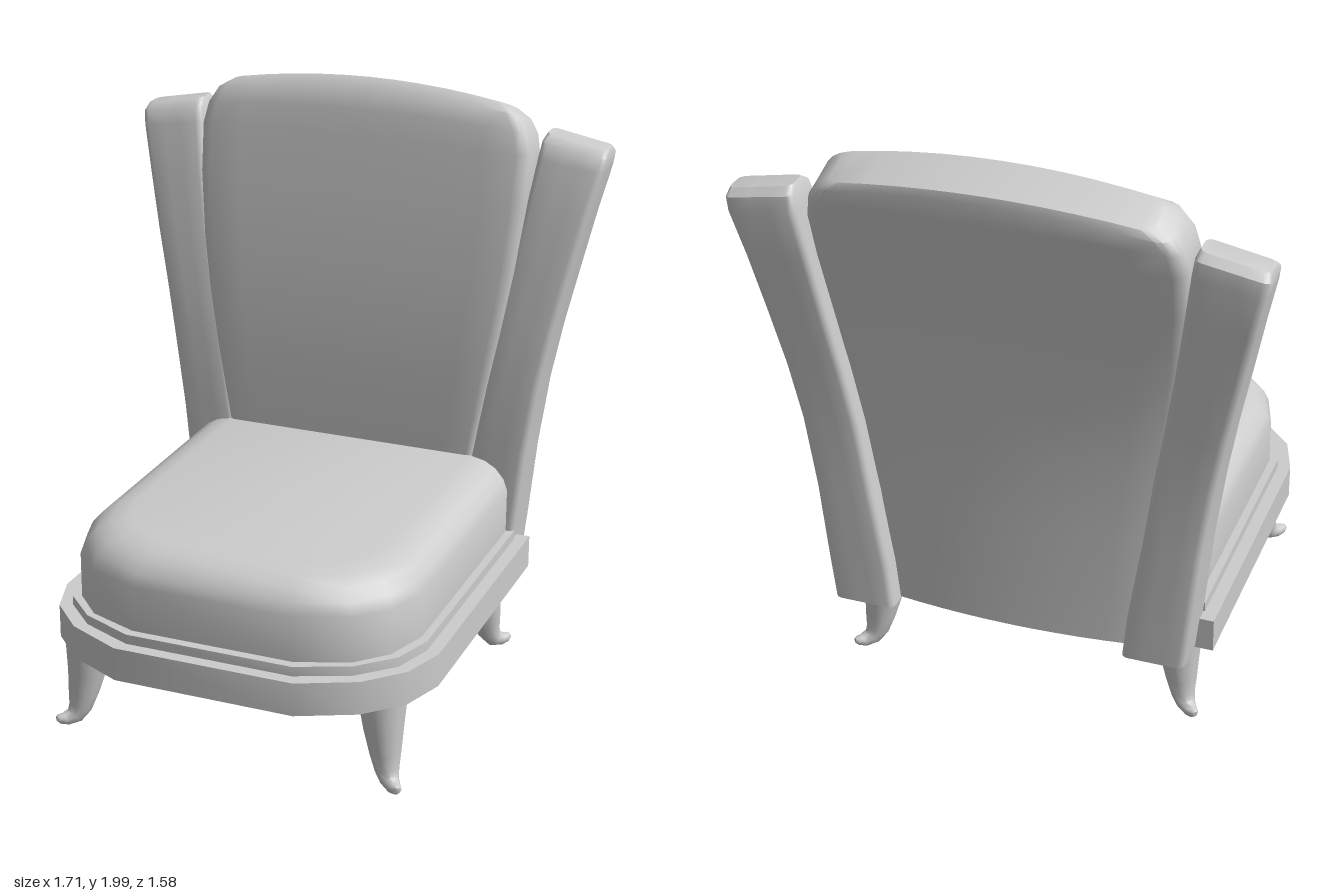
import * as THREE from 'three';
import { toCreasedNormals } from 'three/addons/utils/BufferGeometryUtils.js';

const fabric = new THREE.MeshStandardMaterial({ color: 0xcccccc });
fabric.name = 'light grey';

// Skin a stack of rings; caps join each point to its mirrored partner in the ring.
function loft(name, rings, crease = 0.7) {
  const n = rings[0].length, last = (rings.length - 1) * n;
  const points = rings.flat(), index = [];
  const quad = (a, b, c, d) => index.push(a, b, c, a, c, d);
  for (let k = 0; k < last; k += n) {
    for (let i = 0; i < n; i++) {
      const j = (i + 1) % n;
      quad(k + i, k + j, k + n + j, k + n + i);
    }
  }
  for (let i = 0; i < n / 2 - 1; i++) {
    quad(last + i, last + i + 1, last + n - 2 - i, last + n - 1 - i);
    quad(n - 1 - i, n - 2 - i, i + 1, i);
  }
  // Turn the faces outward if the rings run the other way
  let volume = 0;
  for (let i = 0; i < index.length; i += 3) {
    const [a, b, c] = [0, 1, 2].map(j => points[index[i + j]]);
    volume += a.dot(b.clone().cross(c));
  }
  if (volume < 0) index.reverse();
  const geometry = new THREE.BufferGeometry().setFromPoints(points);
  geometry.setIndex(index);
  const mesh = new THREE.Mesh(toCreasedNormals(geometry, crease), fabric);
  mesh.name = name;
  return mesh;
}

// Rounded rectangle in plan, front edge first, as [x, z] pairs
function roundedRect(x0, x1, zf, zb, r, steps = 10) {
  const front = [];
  const xs = x0 + r, xe = x1 - r;
  for (let i = 0; i < 4; i++) {
    const a = i / 3 * Math.PI / 2;
    front.push([xs - r * Math.cos(a), r * (1 - Math.sin(a))]);
  }
  for (let i = 1; i < steps; i++) front.push([xs + (xe - xs) * i / steps, 0]);
  for (let i = 0; i < 4; i++) {
    const a = i / 3 * Math.PI / 2;
    front.push([xe + r * Math.sin(a), r * (1 - Math.cos(a))]);
  }
  return [
    ...front.map(([x, d]) => [x, zf - d]),
    ...front.reverse().map(([x, d]) => [x, zb + d]),
  ];
}

// Seat outline: straight sides and back, chamfered front corners
function seatRing(half, y, back, inset = 0) {
  const [hw, , front] = half;
  const sx = (hw - inset) / hw;
  const sz = (front - back - inset) / (front - back);
  const right = [[hw, back], ...half[1], [half[1][2][0] * 0.62, front]];
  const place = ([x, z], side) =>
    new THREE.Vector3(side * x * sx, y, back + (z - back) * sz);
  return [
    ...right.map(p => place(p, 1)),
    ...right.slice().reverse().map(p => place(p, -1)),
  ];
}

function createSeat(group) {
  const base = [0.665, [[0.665, 0.43], [0.615, 0.58], [0.5, 0.7]], 0.79];
  const step = [0.622, [[0.622, 0.42], [0.575, 0.56], [0.465, 0.67]], 0.747];
  const pad = [0.595, [[0.595, 0.4], [0.545, 0.55], [0.45, 0.65]], 0.715];
  group.add(loft('seatFrame', [0.315, 0.43].map(y => seatRing(base, y, -0.535))));
  group.add(loft('seatStep', [0.43, 0.463].map(y => seatRing(step, y, -0.49))));
  const layers = [[0.463, 0], [0.62, 0], [0.66, 0.015], [0.695, 0.045],
    [0.718, 0.085], [0.73, 0.14]];
  group.add(loft('seatCushion',
    layers.map(([y, inset]) => seatRing(pad, y, -0.475, inset)), 0.8));
}

function createBackrest() {
  // half width, front z, front y, back z, back y, arch, corner radius
  const rows = [
    [0.42, -0.47, 0.325, -0.63, 0.325, 0, 0.01],
    [0.46, -0.47, 0.73, -0.63, 0.73, 0, 0.02],
    [0.51, -0.472, 1.0, -0.64, 1.0, 0, 0.03],
    [0.545, -0.483, 1.2, -0.655, 1.2, 0, 0.035],
    [0.575, -0.502, 1.4, -0.68, 1.39, 0, 0.04],
    [0.598, -0.53, 1.63, -0.725, 1.61, 0, 0.045],
    [0.603, -0.56, 1.8, -0.765, 1.76, 0.01, 0.045],
    [0.588, -0.575, 1.87, -0.782, 1.83, 0.03, 0.045],
    [0.557, -0.597, 1.925, -0.792, 1.875, 0.05, 0.045],
    [0.51, -0.635, 1.952, -0.787, 1.905, 0.048, 0.04],
  ];
  return loft('backrest', rows.map(([hw, zf, yf, zb, yb, arch, r]) =>
    roundedRect(-hw, hw, zf, zb, r).map(([x, z]) => {
      const t = (z - zf) / (zb - zf);
      const edge = (x / hw) ** 2;
      // The rear surface bows gently outward
      return new THREE.Vector3(x, yf + (yb - yf) * t + arch * (1 - edge), z + 0.03 * edge * t);
    })), 0.8);
}

function createWing(side) {
  // inner x, outer x, front z, back z, y, inner rise
  const rows = [
    [0.395, 0.605, -0.48, -0.67, 0.32, 0],
    [0.41, 0.622, -0.48, -0.67, 0.47, 0],
    [0.455, 0.65, -0.482, -0.67, 0.75, 0],
    [0.49, 0.685, -0.488, -0.673, 1.0, 0],
    [0.525, 0.722, -0.507, -0.688, 1.2, 0],
    [0.56, 0.765, -0.532, -0.712, 1.4, 0],
    [0.592, 0.808, -0.565, -0.74, 1.6, 0.01],
    [0.618, 0.845, -0.6, -0.765, 1.755, 0.03],
    [0.626, 0.853, -0.617, -0.76, 1.8, 0.04],
    [0.636, 0.848, -0.65, -0.735, 1.823, 0.04],
  ];
  return loft(side > 0 ? 'leftWing' : 'rightWing',
    rows.map(([xi, xo, zf, zb, y, rise]) =>
      roundedRect(xi, xo, zf, zb, 0.022, 3).map(([x, z]) =>
        new THREE.Vector3(side * x, y + rise * (xo - x) / (xo - xi), z))), 0.7);
}

function createLeg(side, end) {
  // offset along the diagonal, y, radius, tilt of the ring
  const rows = [[0.52, 0.32, 0.083, 0], [0.529, 0.2, 0.066, 0], [0.54, 0.12, 0.052, 0.1],
    [0.55, 0.065, 0.04, 0.35], [0.565, 0.035, 0.031, 0.8], [0.588, 0.026, 0.023, 1.2],
    [0.603, 0.03, 0.017, 1.5], [0.61, 0.033, 0.009, 1.6]];
  const shift = end > 0 ? 0.03 : -0.085;
  const out = new THREE.Vector3(side, 0, end).normalize();
  const across = new THREE.Vector3(-out.z, 0, out.x);
  const rings = rows.map(([d, y, r, tilt]) => {
    const center = new THREE.Vector3(side * d, y, end * (d + shift));
    const v = out.clone().multiplyScalar(Math.cos(tilt));
    v.y = Math.sin(tilt);
    return Array.from({ length: 12 }, (_, i) => {
      const a = (i + 0.5) / 12 * Math.PI * 2;
      return center.clone()
        .addScaledVector(across, r * Math.cos(a))
        .addScaledVector(v, r * Math.sin(a));
    });
  });
  return loft((end > 0 ? 'front' : 'rear') + (side > 0 ? 'Left' : 'Right') + 'Leg', rings, 0.9);
}

export function createModel() {
  const chair = new THREE.Group();
  chair.name = 'slipperChair';
  createSeat(chair);
  chair.add(createBackrest());
  for (const side of [1, -1]) {
    chair.add(createWing(side));
    for (const end of [1, -1]) chair.add(createLeg(side, end));
  }
  return chair;
}
